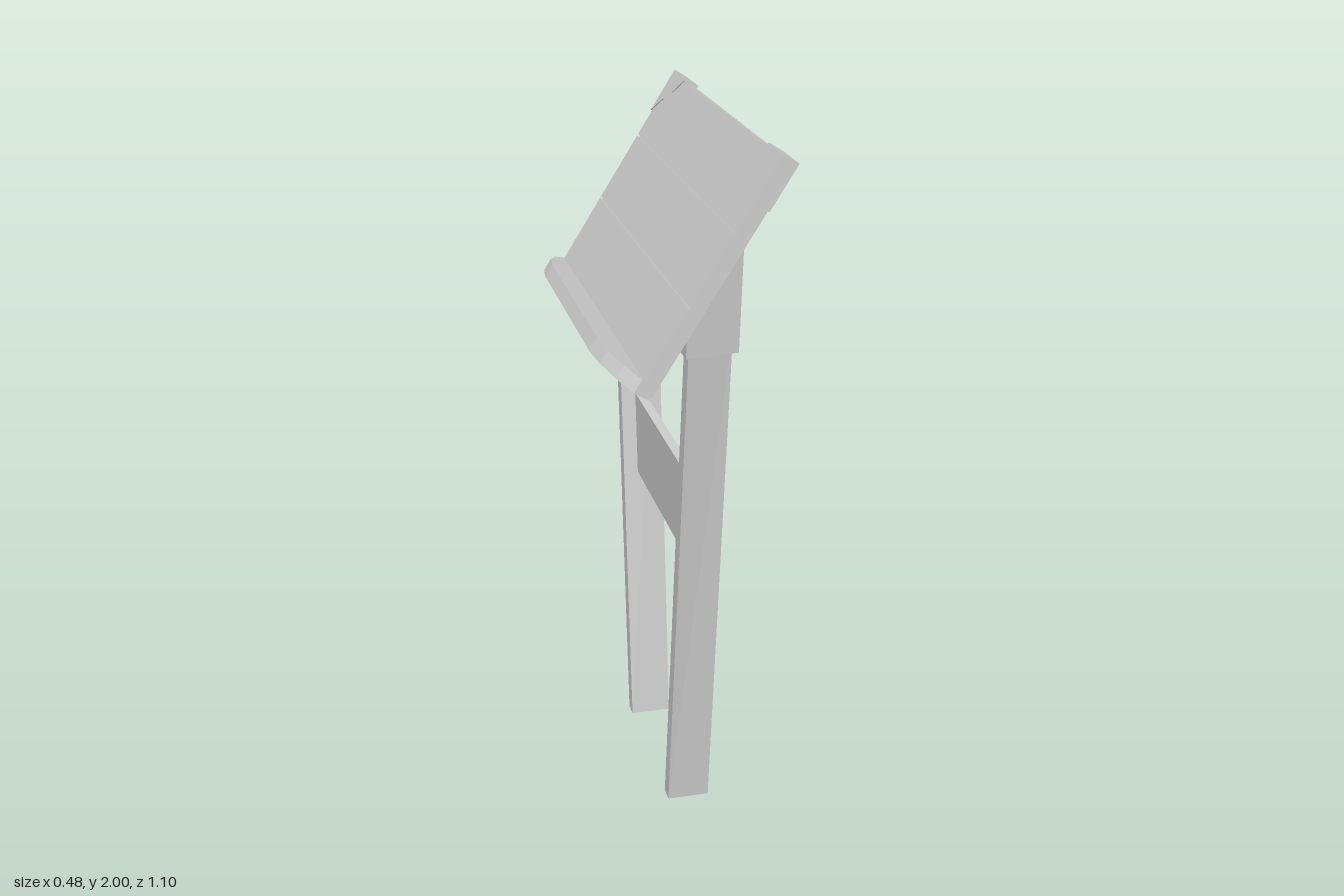
import * as THREE from 'three';

const material = new THREE.MeshStandardMaterial({ color: 0xcccccc, flatShading: true });

function add(parent, name, geometry) {
  const mesh = new THREE.Mesh(geometry, material);
  mesh.name = name;
  parent.add(mesh);
  return mesh;
}

// Box given by its min and max corners
function block(parent, name, [x0, y0, z0], [x1, y1, z1]) {
  const mesh = add(parent, name, new THREE.BoxGeometry(x1 - x0, y1 - y0, z1 - z0));
  mesh.position.set((x0 + x1) / 2, (y0 + y1) / 2, (z0 + z1) / 2);
  return mesh;
}

// Box whose corners are moved by rule(sx, sy, sz) -> [x, y, z]
function bentBox(parent, name, rule) {
  const geometry = new THREE.BoxGeometry(2, 2, 2);
  const p = geometry.attributes.position;
  for (let i = 0; i < p.count; i++) p.setXYZ(i, ...rule(p.getX(i), p.getY(i), p.getZ(i)));
  geometry.computeVertexNormals();
  return add(parent, name, geometry);
}

function extrude(points, depth) {
  const shape = new THREE.Shape(points.map(([x, y]) => new THREE.Vector2(x, y)));
  return new THREE.ExtrudeGeometry(shape, { depth, bevelEnabled: false });
}

// Underside of the sloping panel
const undersideY = (x) => 1.39 + (x + 0.13) * 1.594;

export function createModel() {
  const model = new THREE.Group();
  model.name = 'lectern';

  // Sloping panel: local y runs up the slope, local -x is its upper face
  const panel = new THREE.Group();
  panel.name = 'slopingPanel';
  panel.position.set(-0.13, 1.39, 0);
  panel.rotation.z = -0.56;
  model.add(panel);
  block(panel, 'backBoard', [-0.032, 0.01, -0.545], [0, 0.685, 0.545]);
  const seams = [0.03, 0.256, 0.473, 0.685];
  for (let i = 0; i < 3; i++) {
    block(panel, 'plank', [-0.04, seams[i] + 0.003, -0.545],
      [-0.03, seams[i + 1] - (i < 2 ? 0.003 : 0), 0.545]);
  }

  // Ledge with rounded front corners, at the foot of the slope
  const half = [[-0.002, 0.538], [-0.045, 0.538], [-0.085, 0.485], [-0.117, 0.41], [-0.13, 0.33]];
  const outline = [...half, ...half.map(([x, z]) => [x, -z]).reverse()];
  const ledge = add(panel, 'ledge', extrude(outline, 0.04));
  ledge.rotation.x = -Math.PI / 2;

  for (const s of [1, -1]) {
    // Corner bracket wrapped over the top corner
    const corner = [[0.55, 0.694], [0.418, 0.694], [0.418, 0.684], [0.46, 0.638],
      [0.505, 0.638], [0.505, 0.605], [0.55, 0.557]];
    const bracket = add(panel, 'cornerBracket', extrude(corner.map(([z, y]) => [-s * z, y]), 0.046));
    bracket.rotation.y = Math.PI / 2;
    bracket.position.x = -0.043;

    // Splayed leg, slightly twisted toward the top
    bentBox(model, 'leg', (sx, sy, sz) => {
      const y = sy > 0 ? 1.52 : 0;
      const x = sx > 0 ? 0.113 : -0.008;
      const z = (sz * s > 0 ? 0.268 : 0.222) + 0.115 * y + (sx < 0 ? 0.013 * y : 0);
      return [x, y, s * z];
    });

    // Sleeve joining the leg to the panel, cut along the slope
    bentBox(model, 'legSleeve', (sx, sy, sz) => {
      const x = sx > 0 ? 0.125 : -0.02;
      const y = sy > 0 ? undersideY(x) + 0.005 : 1.47;
      const z = (sz * s > 0 ? 0.46 : 0.39) + (y - 1.47) * (sz * s > 0 ? 0.09 : 0.125)
        + (sx < 0 ? 0.02 : 0);
      return [x, y, s * z];
    });
  }

  // Cross board between the legs
  bentBox(model, 'crossBoard', (sx, sy, sz) => {
    const y = sy > 0 ? 1.06 : 0.81;
    return [sx > 0 ? 0.062 : 0.034, y, sz * (0.235 + 0.118 * y)];
  });

  return model;
}
